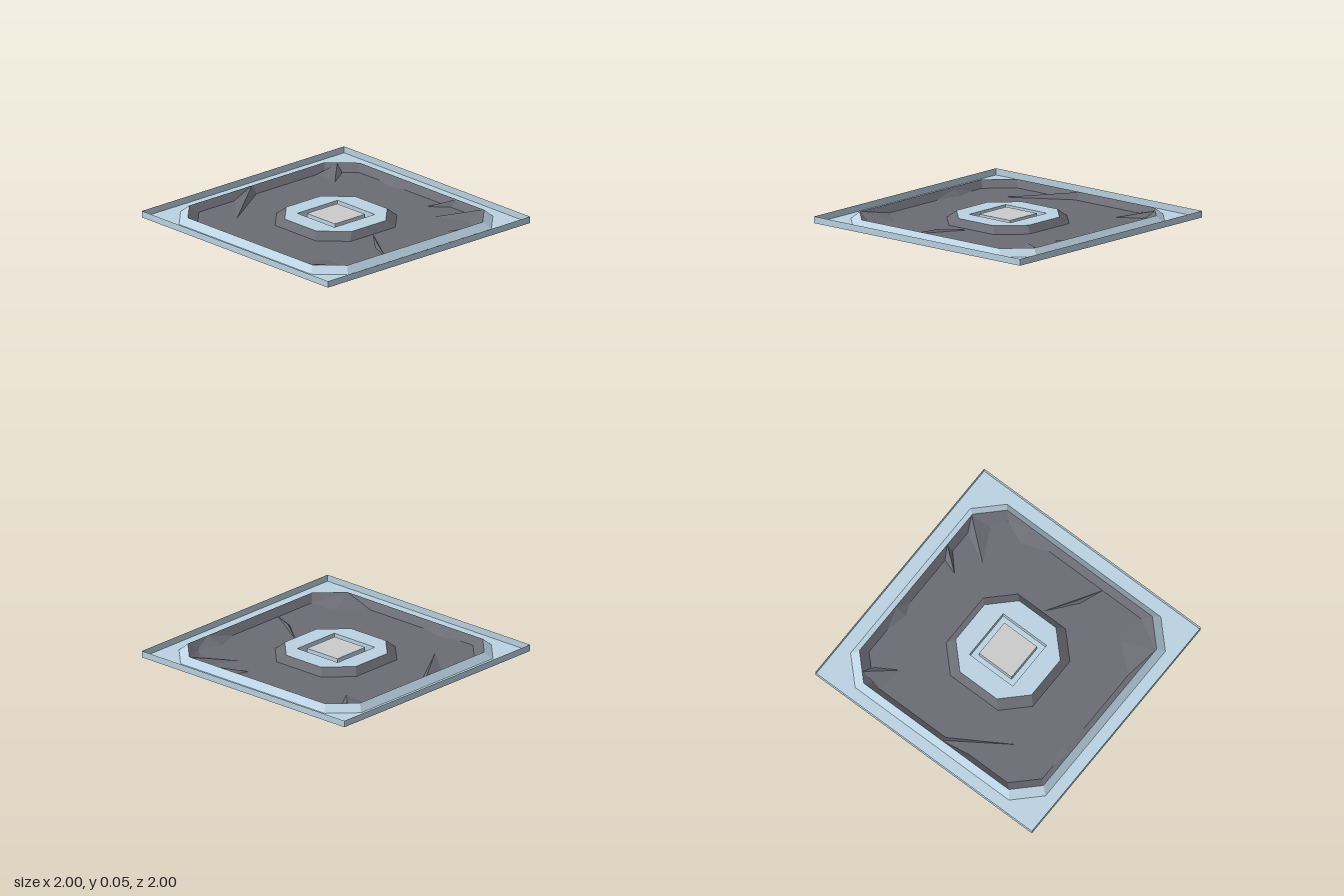
import * as THREE from 'three';

const H = 0.05; // height of every raised part

const material = (color) =>
  new THREE.MeshStandardMaterial({ color, flatShading: true, side: THREE.DoubleSide });
const blue = material(0xbbd3e3);
const dark = material(0x6b6c74);
const grey = material(0xcccccc);

// Outlines as [x, z] loops
const square = (r) => [[r, -r], [r, r], [-r, r], [-r, -r]];
const octagon = (r, c) => [
  [r, -c], [r, c], [c, r], [-c, r], [-r, c], [-r, -c], [-c, -r], [c, -r],
];

function fromPositions(positions) {
  const geometry = new THREE.BufferGeometry();
  geometry.setAttribute('position', new THREE.Float32BufferAttribute(positions, 3));
  geometry.computeVertexNormals();
  return geometry;
}

// Strip of quads joining two outlines at their own heights
function band(a, ya, b, yb) {
  const p = [];
  a.forEach((_, i) => {
    const j = (i + 1) % a.length;
    const a0 = [a[i][0], ya, a[i][1]], a1 = [a[j][0], ya, a[j][1]];
    const b0 = [b[i][0], yb, b[i][1]], b1 = [b[j][0], yb, b[j][1]];
    p.push(...a0, ...b0, ...b1, ...a0, ...b1, ...a1);
  });
  return fromPositions(p);
}

// Horizontal sheet, optionally with a hole
function sheet(outline, y, hole) {
  const points = (loop) => loop.map(([x, z]) => new THREE.Vector2(x, -z));
  const shape = new THREE.Shape(points(outline));
  if (hole) shape.holes.push(new THREE.Path(points(hole)));
  return new THREE.ShapeGeometry(shape).rotateX(-Math.PI / 2).translate(0, y, 0);
}

// Broken facets spreading from one high point to points on the floor
function shard(apex, foot) {
  const p = [];
  for (let i = 0; i + 1 < foot.length; i++) {
    const [a, b] = [foot[i], foot[i + 1]].map(([x, z, y = 0.001]) => new THREE.Vector3(x, y, z));
    const top = new THREE.Vector3(...apex);
    const up = a.clone().sub(top).cross(b.clone().sub(top)).y > 0;
    for (const v of up ? [top, a, b] : [top, b, a]) p.push(v.x, v.y, v.z);
  }
  return fromPositions(p);
}

export function createModel() {
  const model = new THREE.Group();
  const add = (name, geometry, mat, parent = model) => {
    const mesh = new THREE.Mesh(geometry, mat);
    mesh.name = name;
    parent.add(mesh);
  };

  const ridgeFoot = octagon(0.9, 0.71);
  const ridgeTop = octagon(0.85, 0.67);
  const floorEdge = octagon(0.8, 0.62);
  const hubFoot = octagon(0.4, 0.22);
  const hubTop = octagon(0.35, 0.17);
  const recess = square(0.2);
  const block = square(0.15);

  // Outer tray
  add('outerWall', band(square(1), 0, square(1), H), blue);
  add('borderPlate', sheet(square(1), 0, ridgeFoot), blue);

  // Ridge around the sunken floor
  add('ridgeOuterSlope', band(ridgeFoot, 0, ridgeTop, H), blue);
  add('ridgeInnerSlope', band(ridgeTop, H, floorEdge, 0), dark);
  add('floor', sheet(floorEdge, 0, hubFoot), dark);

  // Raised hub with a square recess
  add('hubSlope', band(hubFoot, 0, hubTop, H), dark);
  add('hubTop', sheet(hubTop, H, recess), blue);
  add('recessWall', band(recess, H, recess, 0), blue);
  add('recessFloor', sheet(recess, 0, block), blue);
  add('blockWall', band(block, 0, block, H), blue);
  add('blockTop', sheet(block, H), grey);

  // Rubble: high point [x, y, z], then foot points [x, z, y]
  const shards = [
    [[-0.24, 0.045, -0.84], [[-0.4, -0.8], [-0.24, -0.76], [-0.13, -0.8]]],
    [[0.37, H, -0.85], [[0.28, -0.8], [0.24, -0.68], [0.37, -0.8]]],
    [[0.66, H, -0.85], [[0.55, -0.8], [0.43, -0.57], [0.69, -0.7], [0.8, -0.62]]],
    [[-0.78, 0.045, -0.73], [[-0.8, -0.55], [-0.59, -0.53], [-0.69, -0.69], [-0.72, -0.72]]],
    [[0.85, H, -0.45], [[0.8, -0.62], [0.72, -0.44], [0.8, -0.24]]],
    [[-0.85, H, 0.05], [[-0.8, 0.05], [-0.52, 0.5], [-0.8, 0.27]]],
    [[0.61, 0.02, 0.15], [[0.41, 0.01], [0.8, 0.25], [0.62, 0.18], [0.41, 0.01]]],
    [[0.66, H, 0.85], [[0.4, 0.8], [0.57, 0.6], [0.8, 0.61], [0.85, 0.67, H]]],
    [[-0.34, 0.04, 0.83], [[-0.5, 0.8], [-0.34, 0.76], [-0.12, 0.8]]],
  ];
  const rubble = new THREE.Group();
  rubble.name = 'rubble';
  shards.forEach(([apex, foot], i) => add(`shard${i + 1}`, shard(apex, foot), dark, rubble));
  model.add(rubble);

  return model;
}
